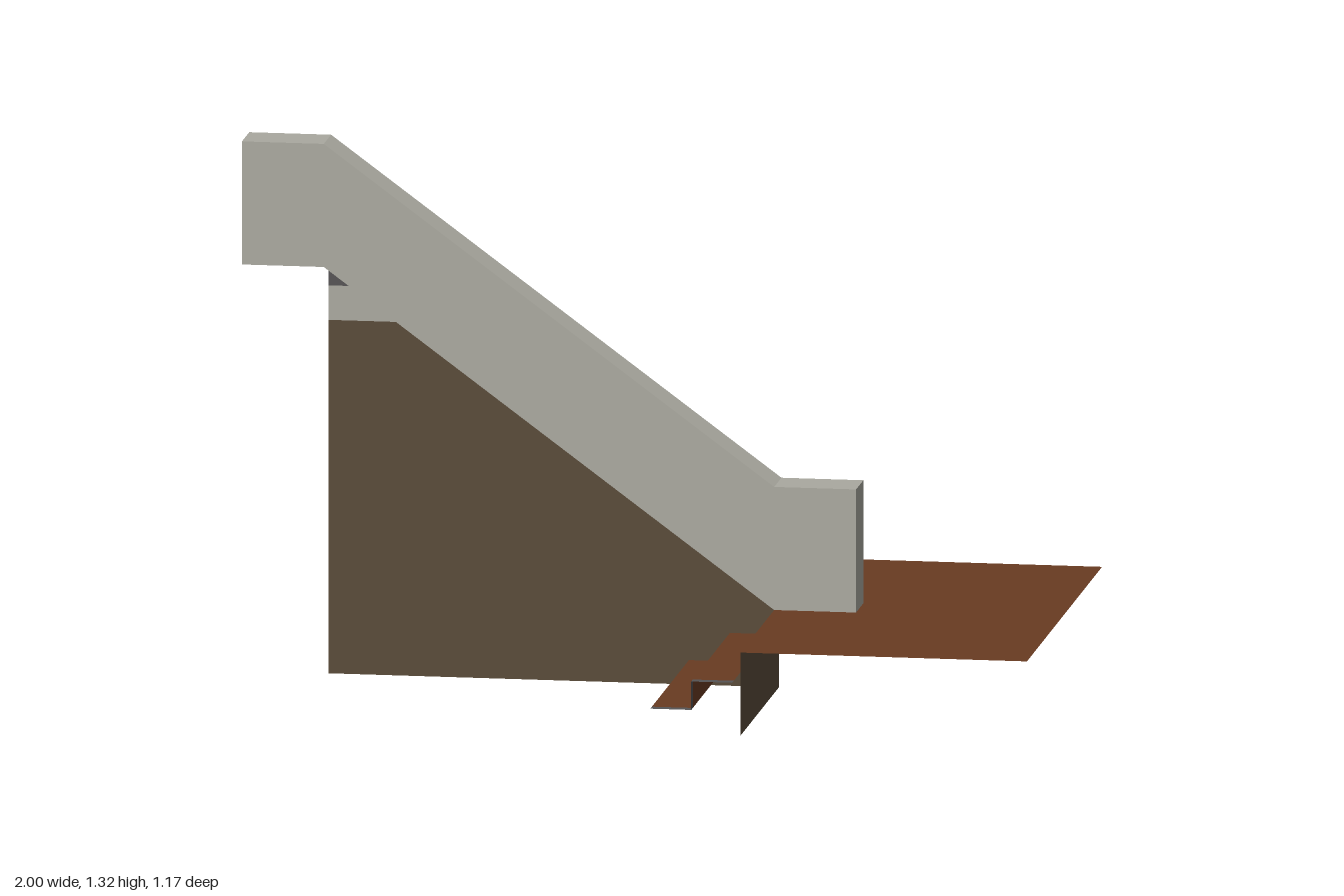
import * as THREE from 'three';

const mat = (name, color, side = THREE.DoubleSide) => {
  const m = new THREE.MeshStandardMaterial({ color, side });
  m.name = name;
  return m;
};

export function createModel() {
  const model = new THREE.Group();
  const stone = mat('stone grey', 0xaaa9a0);
  const earth = mat('earth brown', 0x5a4c3a);
  const wood = mat('red brown', 0x693b22);
  const slate = mat('slate grey', 0x565455);

  const add = (name, geometry, material) => {
    const mesh = new THREE.Mesh(geometry, material);
    mesh.name = name;
    model.add(mesh);
    return mesh;
  };
  const shape = (pts) => new THREE.Shape(pts.map(([x, y]) => new THREE.Vector2(x, y)));
  // four-cornered sheet, corners counter-clockwise from its front
  const sheet = (name, corners, material) => {
    const g = new THREE.BufferGeometry();
    g.setAttribute('position', new THREE.Float32BufferAttribute(corners.flat(), 3));
    g.setIndex([0, 1, 2, 0, 2, 3]);
    g.computeVertexNormals();
    return add(name, g, material);
  };
  const floor = (name, x0, x1, y, z0, z1, material) =>
    sheet(name, [[x0, y, z1], [x1, y, z1], [x1, y, z0], [x0, y, z0]], material);
  const upright = (name, x, y0, y1, z0, z1, material) =>
    sheet(name, [[x, y0, z1], [x, y0, z0], [x, y1, z0], [x, y1, z1]], material);

  const high = 1.015, low = 0.205, back = -0.587, front = 0.583, wallZ = -0.018;
  const half = 0.057, rail = 0.303;

  // sloping parapet with level ends
  const parapet = new THREE.ExtrudeGeometry(shape([
    [-1, high], [-0.8, high], [0.3, low], [0.5, low],
    [0.5, low + rail], [0.3, low + rail], [-0.8, high + rail], [-1, high + rail],
  ]), { depth: 2 * half, bevelEnabled: false });
  parapet.translate(0, 0, -half);
  add('parapet', parapet, stone);

  // ramp sheet behind the parapet
  sheet('ramp', [[-0.8, high, -half], [0.3, low, -half], [0.3, low, back], [-0.8, high, back]], stone);

  // lower landing and the riser below its edge
  floor('landing', 0.3, 1, low, back, front, wood);
  upright('landingRiser', 0.3, 0, low, wallZ, front, earth);

  // side wall under the slope, in three bands of colour
  const slopeX = (y) => -0.8 + ((high - y) / (high - low)) * 1.1;
  const bands = [
    ['sideWall', [[-0.8, 0], [0.3, 0], [0.3, low], [slopeX(0.87), 0.87], [-0.8, 0.87]], earth],
    ['wallBand', [[-0.8, 0.87], [slopeX(0.87), 0.87], [slopeX(0.955), 0.955], [-0.8, 0.955]], stone],
    ['wallTip', [[-0.8, 0.955], [slopeX(0.955), 0.955], [-0.8, high]], slate],
  ];
  for (const [name, pts, material] of bands) {
    add(name, new THREE.ShapeGeometry(shape(pts)), material).position.z = wallZ;
  }

  // two thin steps with slate ends
  const edge = 0.558;
  for (const [x, y] of [[0.08, 0.06], [0.18, 0.13]]) {
    floor('tread', x, x + 0.1, y, wallZ, edge, wood);
    floor('treadEnd', x, x + 0.1, y, edge, front, slate);
  }
  upright('stepRiser', 0.18, 0.06, 0.13, wallZ, edge, wood);
  upright('stepRiserEnd', 0.18, 0.06, 0.13, edge, front, slate);

  return model;
}
